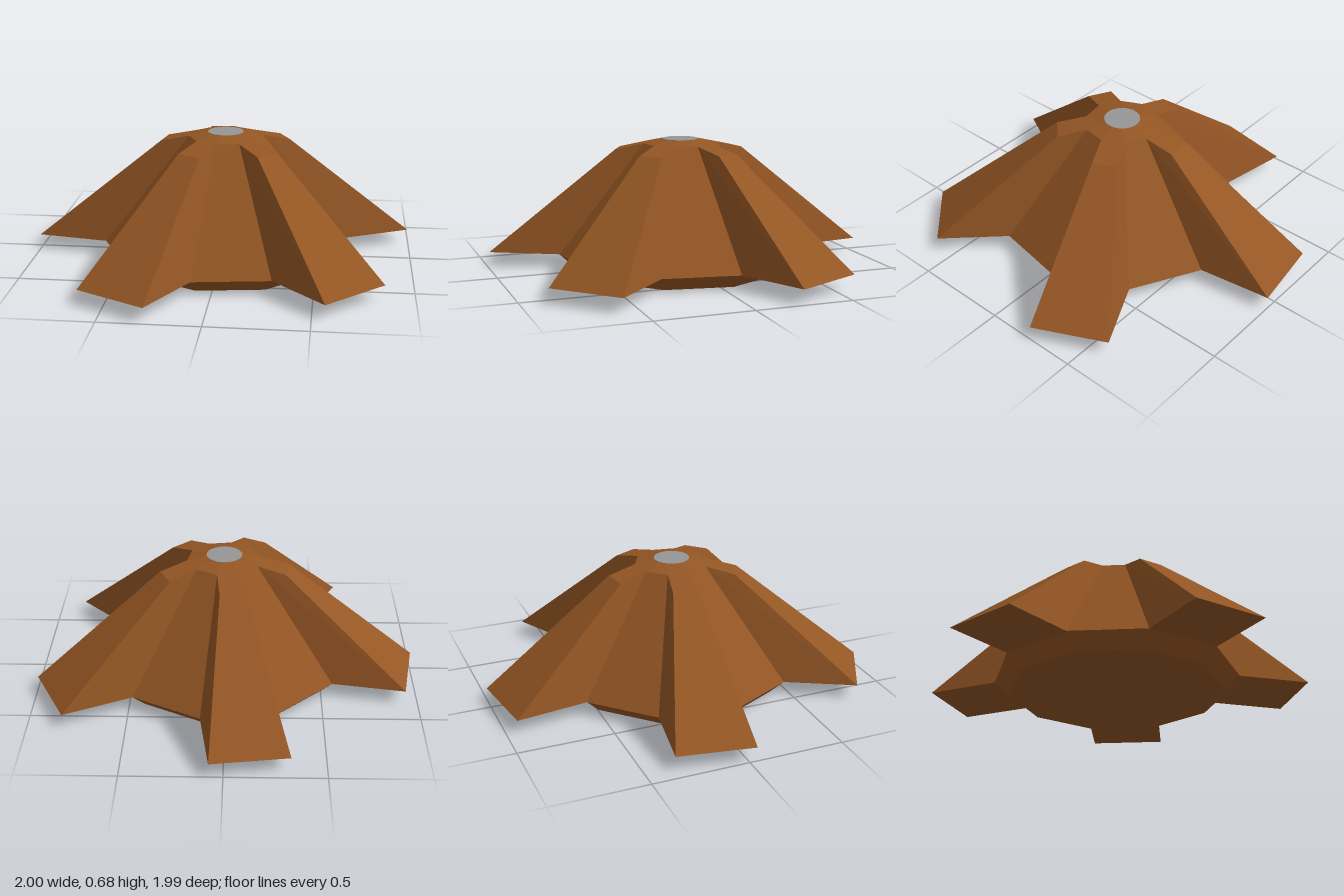
import * as THREE from 'three';

const RAD = Math.PI / 180;
const CX = 0.013, CZ = 0.013;   // hub offset that centres the five arms
const FIRST = -98.1;            // direction of the first arm, in degrees

// Point at distance r along direction deg, shifted sideways by w, at height y
function at(deg, r, w, y) {
  const c = Math.cos(deg * RAD), s = Math.sin(deg * RAD);
  return [r * c - w * s, y, r * s + w * c];
}

// Flat-faced mesh from quads
function quadMesh(name, quads, material) {
  const pos = [];
  for (const [a, b, c, d] of quads) pos.push(...a, ...b, ...c, ...a, ...c, ...d);
  const g = new THREE.BufferGeometry();
  g.setAttribute('position', new THREE.Float32BufferAttribute(pos, 3));
  g.computeVertexNormals();
  const m = new THREE.Mesh(g, material);
  m.name = name;
  return m;
}

// Corner pair (left, right) rings of one arm
function corners(deg) {
  const pair = (r, w, y) => [at(deg, r, -w, y), at(deg, r, w, y)];
  return {
    root: pair(0.613, 0.199, 0.075),
    tip: pair(0.996, 0.199, 0.075),
    shoulder: pair(0.337, 0.065, 0.62),
    neck: pair(0.185, 0.06, 0.655),
    rim: pair(0.09, 0.0292, 0.677),
  };
}

export function createModel() {
  const brown = new THREE.MeshStandardMaterial({ color: 0x945624 });
  brown.name = 'brown';
  brown.flatShading = true;
  const grey = new THREE.MeshStandardMaterial({ color: 0x969696 });
  grey.name = 'grey';

  const model = new THREE.Group();
  model.name = 'fiveArmedCone';
  const body = new THREE.Group();
  body.name = 'body';
  body.position.set(CX, 0, CZ);
  model.add(body);

  for (let i = 0; i < 5; i++) {
    const deg = FIRST + i * 72;
    const a = corners(deg), n = corners(deg + 72);

    // Arm: sloping back, crown facets, side walls and underside
    body.add(quadMesh('arm', [
      [a.tip[0], a.shoulder[0], a.shoulder[1], a.tip[1]],
      [a.shoulder[0], a.neck[0], a.neck[1], a.shoulder[1]],
      [a.neck[0], a.rim[0], a.rim[1], a.neck[1]],
      [a.root[0], a.neck[0], a.shoulder[0], a.tip[0]],
      [a.tip[1], a.shoulder[1], a.neck[1], a.root[1]],
      [a.root[0], a.tip[0], a.tip[1], a.root[1]],
    ], brown));

    // Valley between this arm and the next
    body.add(quadMesh('valley', [
      [a.root[1], a.neck[1], n.neck[0], n.root[0]],
      [a.neck[1], a.rim[1], n.rim[0], n.neck[0]],
    ], brown));
  }

  // Ten-sided foot, narrowing downwards
  const foot = new THREE.Mesh(new THREE.CylinderGeometry(0.645, 0.567, 0.075, 10), brown);
  foot.name = 'foot';
  foot.position.y = 0.0375;
  foot.rotation.y = -9.9 * RAD;
  body.add(foot);

  // Round plate on the summit
  const cap = new THREE.Mesh(new THREE.CylinderGeometry(0.093, 0.093, 0.004, 24), grey);
  cap.name = 'topPlate';
  cap.position.y = 0.676;
  body.add(cap);

  return model;
}
